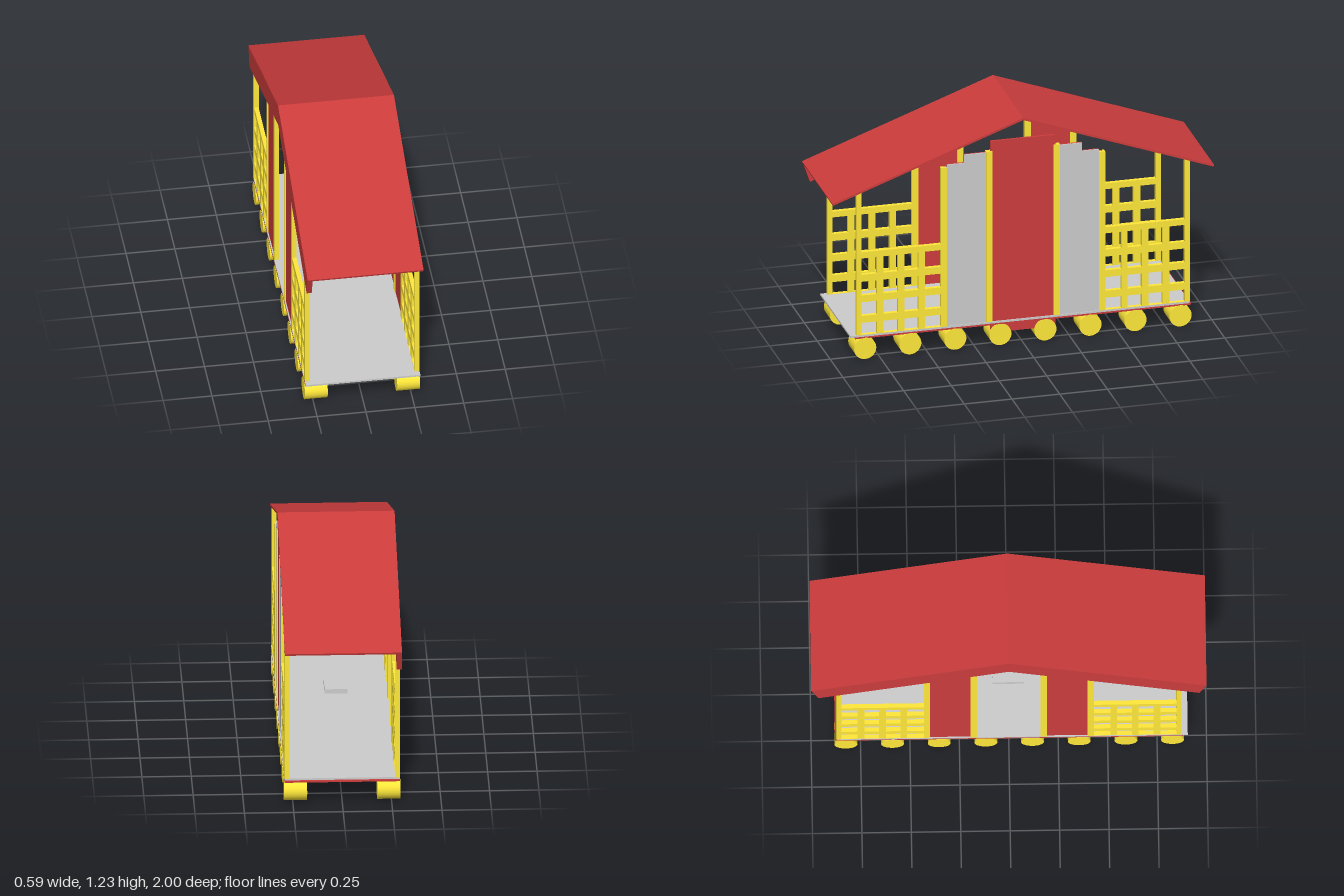
import * as THREE from 'three';

const material = (color) => new THREE.MeshStandardMaterial({ color, flatShading: true });

export function createModel() {
  const model = new THREE.Group();
  const red = material(0xcc3c3c);
  const yellow = material(0xffe83a);
  const grey = material(0xcccccc);
  const wheelMaterial = new THREE.MeshStandardMaterial({ color: 0xffe83a });

  const add = (name, geometry, mat) => {
    const mesh = new THREE.Mesh(geometry, mat);
    mesh.name = name;
    model.add(mesh);
    return mesh;
  };

  // Box given by its limits on each axis
  const box = (name, mat, [x0, x1], [y0, y1], [z0, z1]) => {
    const mesh = add(name, new THREE.BoxGeometry(Math.abs(x1 - x0), y1 - y0, Math.abs(z1 - z0)), mat);
    mesh.position.set((x0 + x1) / 2, (y0 + y1) / 2, (z0 + z1) / 2);
    return mesh;
  };

  const outline = (points) => new THREE.Shape(points.map(([z, y]) => new THREE.Vector2(z, y)));

  // Side profile in (z, y), extruded across x
  const profile = (name, mat, shape, x0, x1) => {
    const geometry = new THREE.ExtrudeGeometry(shape, { depth: x1 - x0, bevelEnabled: false });
    geometry.rotateY(-Math.PI / 2).translate(x1, 0, 0);
    return add(name, geometry, mat);
  };

  // Floor in two layers
  box('floorBase', red, [-0.293, 0.293], [0.113, 0.122], [-0.88, 0.88]);
  box('floorBoard', grey, [-0.293, 0.293], [0.122, 0.132], [-0.87, 0.905]);

  // Two rows of eight wheels
  const wheelGeometry = new THREE.CylinderGeometry(0.058, 0.058, 0.117, 32).rotateZ(Math.PI / 2);
  for (const side of [-1, 1]) {
    for (let i = 0; i < 8; i++) {
      add('wheel', wheelGeometry, wheelMaterial).position.set(side * 0.236, 0.058, 0.828 - i * 0.236);
    }
  }

  // Posts, with their heights following the roof
  const posts = [[0.847, 0.873, 0.912], [0.398, 0.43, 1.0], [0.16, 0.193, 1.064]];
  // Lattice bar openings
  const openZ = [[0.43, 0.515], [0.547, 0.622], [0.656, 0.731], [0.766, 0.847]];
  const openY = [[0.133, 0.198], [0.236, 0.311], [0.348, 0.423], [0.461, 0.552]];

  for (const side of [-1, 1]) {
    for (const end of [-1, 1]) {
      for (const [z0, z1, top] of posts) {
        box('post', yellow, [side * 0.268, side * 0.293], [0.13, top], [end * z0, end * z1]);
      }

      // Lattice railing
      const lattice = outline([[0.42, 0.125], [0.855, 0.125], [0.855, 0.584], [0.42, 0.584]]
        .map(([z, y]) => [z * end, y]));
      for (const [z0, z1] of openZ) {
        for (const [y0, y1] of openY) {
          lattice.holes.push(new THREE.Path([[z0, y0], [z0, y1], [z1, y1], [z1, y0]]
            .map(([z, y]) => new THREE.Vector2(z * end, y))));
        }
      }
      const x = side * 0.28;
      profile('latticeRailing', yellow, lattice, x - 0.011, x + 0.011);

      // Wall panels with a stepped top
      const wall = outline([[0.175, 0.13], [0.415, 0.13], [0.415, 1.0], [0.398, 1.0], [0.398, 1.013],
        [0.31, 1.013], [0.31, 1.058], [0.175, 1.058]].map(([z, y]) => [z * end, y]));
      if (side > 0) {
        profile('outerWall', grey, wall, 0.281, 0.288);
        profile('innerWall', red, wall, 0.273, 0.281);
      } else {
        profile('sideWall', red, wall, -0.287, -0.274);
      }
    }
  }

  // Closed centre panel on the left side, reaching below the floor
  box('centrePanel', red, [0.274, 0.287], [0.07, 1.117], [-0.17, 0.17]);

  // Small raised seat inside
  box('seat', grey, [-0.056, 0.059], [0.267, 0.291], [-0.08, 0.08]);

  // Gabled roof and its deep fascia on the right side
  profile('roof', red, outline([[-1, 0.866], [-0.997, 0.856], [0, 1.218], [0.997, 0.856],
    [1, 0.866], [0, 1.23]]), -0.295, 0.295);
  profile('fascia', red, outline([[-1, 0.865], [-0.964, 0.758], [0, 1.11], [0.964, 0.758],
    [1, 0.865], [0, 1.229]]), -0.298, -0.272);

  return model;
}
